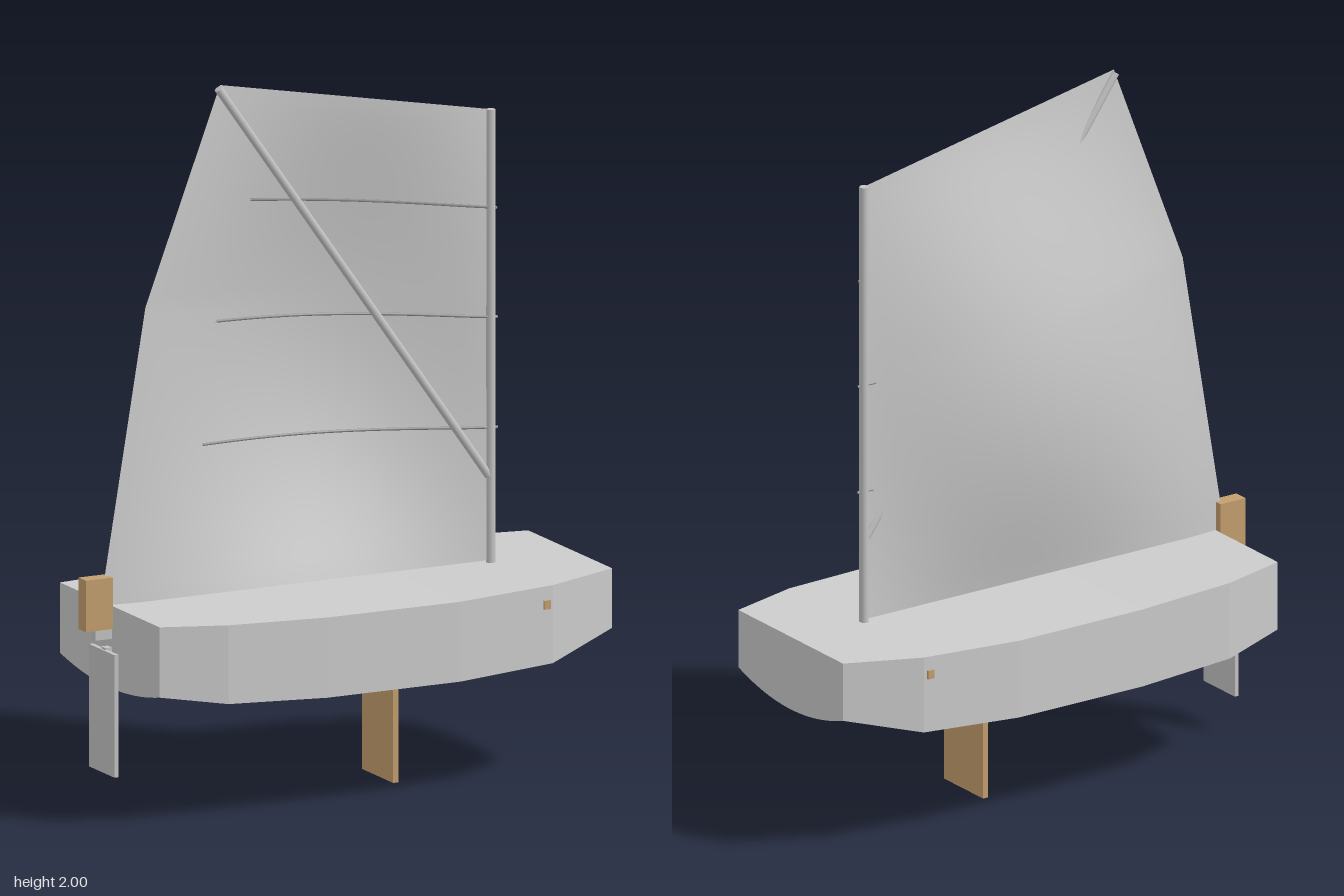
import * as THREE from 'three';

const mat = (name, color, side = THREE.FrontSide) => {
  const m = new THREE.MeshStandardMaterial({ color, side });
  m.name = name;
  return m;
};

// Surface over a grid of points; it faces along (u direction) x (v direction)
function grid(nu, nv, point, flat = false) {
  const pos = [], idx = [];
  for (let j = 0; j <= nv; j++) for (let i = 0; i <= nu; i++) pos.push(...point(i, j));
  for (let j = 0; j < nv; j++) for (let i = 0; i < nu; i++) {
    const a = j * (nu + 1) + i, b = a + 1, c = b + nu + 1, d = a + nu + 1;
    idx.push(a, b, c, a, c, d);
  }
  let g = new THREE.BufferGeometry();
  g.setAttribute('position', new THREE.Float32BufferAttribute(pos, 3));
  g.setIndex(idx);
  if (flat) g = g.toNonIndexed();
  g.computeVertexNormals();
  return g;
}

// Hull stations: x, half width, deck height, chine height, rail width, trough height, keel height
const stations = [
  [-0.67, 0.297, 0.573, 0.375, 0, 0.375, 0.34],
  [-0.48, 0.34, 0.567, 0.345, 0.05, 0.36, 0.337],
  [-0.18, 0.35, 0.558, 0.332, 0.06, 0.357, 0.333],
  [0.23, 0.35, 0.557, 0.332, 0.06, 0.357, 0.333],
  [0.53, 0.322, 0.565, 0.345, 0.04, 0.362, 0.342],
  [0.75, 0.25, 0.573, 0.405, 0, 0.405, 0.36],
];
const bottomY = (s, t) => s[6] + (s[5] - s[6]) * t * t;

// Sail: u runs from mast to trailing edge, v from foot to head
const luffX = 0.505, footY = 0.57;
function sailPoint(u, v) {
  const kink = 0.58;
  const edgeX = v < kink ? THREE.MathUtils.lerp(-0.70, -0.56, v / kink)
    : THREE.MathUtils.lerp(-0.56, -0.33, (v - kink) / (1 - kink));
  const y = footY + THREE.MathUtils.lerp(1.27, 1.43, u) * v;
  const across = u <= 0 || u >= 1 ? 0 : Math.sin(Math.PI * u ** 0.9) ** 1.3;
  const up = v <= 0 || v >= 1 ? 0 : Math.sin(Math.PI * v ** 0.88) ** 1.2;
  return [THREE.MathUtils.lerp(luffX, edgeX, u), y, -0.108 * across * up];
}

export function createModel() {
  const model = new THREE.Group();
  model.name = 'sailingDinghy';
  const hullMat = mat('hull grey', 0xcccccc, THREE.DoubleSide);
  const sailMat = mat('sail white', 0xcfcfcf, THREE.DoubleSide);
  const sparMat = mat('spar grey', 0xc4c4c4);
  const battenMat = mat('batten grey', 0x909090);
  const woodMat = mat('wood', 0xc49f6e);

  const add = (name, geometry, material, parent = model) => {
    const m = new THREE.Mesh(geometry, material);
    m.name = name;
    parent.add(m);
    return m;
  };
  const box = (name, x0, x1, y0, y1, halfZ, material) => {
    const m = add(name, new THREE.BoxGeometry(x1 - x0, y1 - y0, 2 * halfZ), material);
    m.position.set((x0 + x1) / 2, (y0 + y1) / 2, 0);
  };
  const rod = (name, a, b, r, sides, material) => {
    const from = new THREE.Vector3(...a), to = new THREE.Vector3(...b);
    const dir = to.clone().sub(from);
    const m = add(name, new THREE.CylinderGeometry(r, r, dir.length(), sides), material);
    m.position.copy(from).add(to).multiplyScalar(0.5);
    m.quaternion.setFromUnitVectors(new THREE.Vector3(0, 1, 0), dir.normalize());
  };

  // Hull: deck, side walls with bottom rails, rounded bottom, end walls
  const hull = new THREE.Group();
  hull.name = 'hull';
  model.add(hull);
  const last = stations.length - 1;
  add('deck', grid(1, last, (i, j) => {
    const [x, w, top] = stations[j];
    return [x, top, i ? w : -w];
  }, true), hullMat, hull);
  for (const side of [1, -1]) {
    add(side > 0 ? 'leftWall' : 'rightWall', grid(3, last, (i, j) => {
      const [x, w, top, chine, rail, trough] = stations[j];
      const k = side > 0 ? i : 3 - i;
      return [x, [top, chine, chine, trough][k], side * (w - [0, 0, rail, rail * 1.5][k])];
    }, true), hullMat, hull);
  }
  const n = 20;
  add('bottom', grid(n, last, (i, j) => {
    const s = stations[j], t = 1 - 2 * i / n;
    return [s[0], bottomY(s, t), t * (s[1] - 1.5 * s[4])];
  }), hullMat, hull);
  for (const [name, s, dir] of [['bowWall', stations[last], 1], ['sternWall', stations[0], -1]]) {
    add(name, grid(1, n, (i, j) => {
      const t = dir * (2 * j / n - 1);
      return [s[0], i ? s[2] : bottomY(s, t), t * s[1]];
    }, true), hullMat, hull);
  }

  // Wooden cross beam whose ends show in the side walls
  box('crossBeam', 0.50, 0.52, 0.50, 0.525, 0.329, woodMat);

  // Boards and rudder
  box('daggerboard', 0.156, 0.172, 0, 0.45, 0.093, woodMat);
  box('rudderHead', -0.755, -0.672, 0.51, 0.655, 0.022, woodMat);
  box('rudderBracket', -0.72, -0.668, 0.48, 0.51, 0.012, sparMat);
  box('rudderBlade', -0.695, -0.682, 0.105, 0.45, 0.075, sparMat);
  box('rudderHinge', -0.69, -0.668, 0.44, 0.456, 0.012, sparMat);

  // Rig
  rod('mast', [luffX, 0.5, 0], [luffX, 1.84, 0], 0.013, 12, sparMat);
  rod('sprit', [0.498, 0.81, 0], [-0.335, 1.99, 0], 0.012, 8, sparMat);
  add('sail', grid(32, 50, (i, j) => sailPoint(i / 32, j / 50)), sailMat);

  // Battens lie along the front of the sail
  for (const v of [0.295, 0.54, 0.783]) {
    const pts = [];
    for (let i = 0; i <= 12; i++) {
      const [x, y, z] = sailPoint(-0.017 + 0.782 * i / 12, v);
      pts.push(new THREE.Vector3(x, y, z + 0.005));
    }
    add('batten', new THREE.TubeGeometry(new THREE.CatmullRomCurve3(pts), 24, 0.004, 6), battenMat);
  }
  return model;
}
